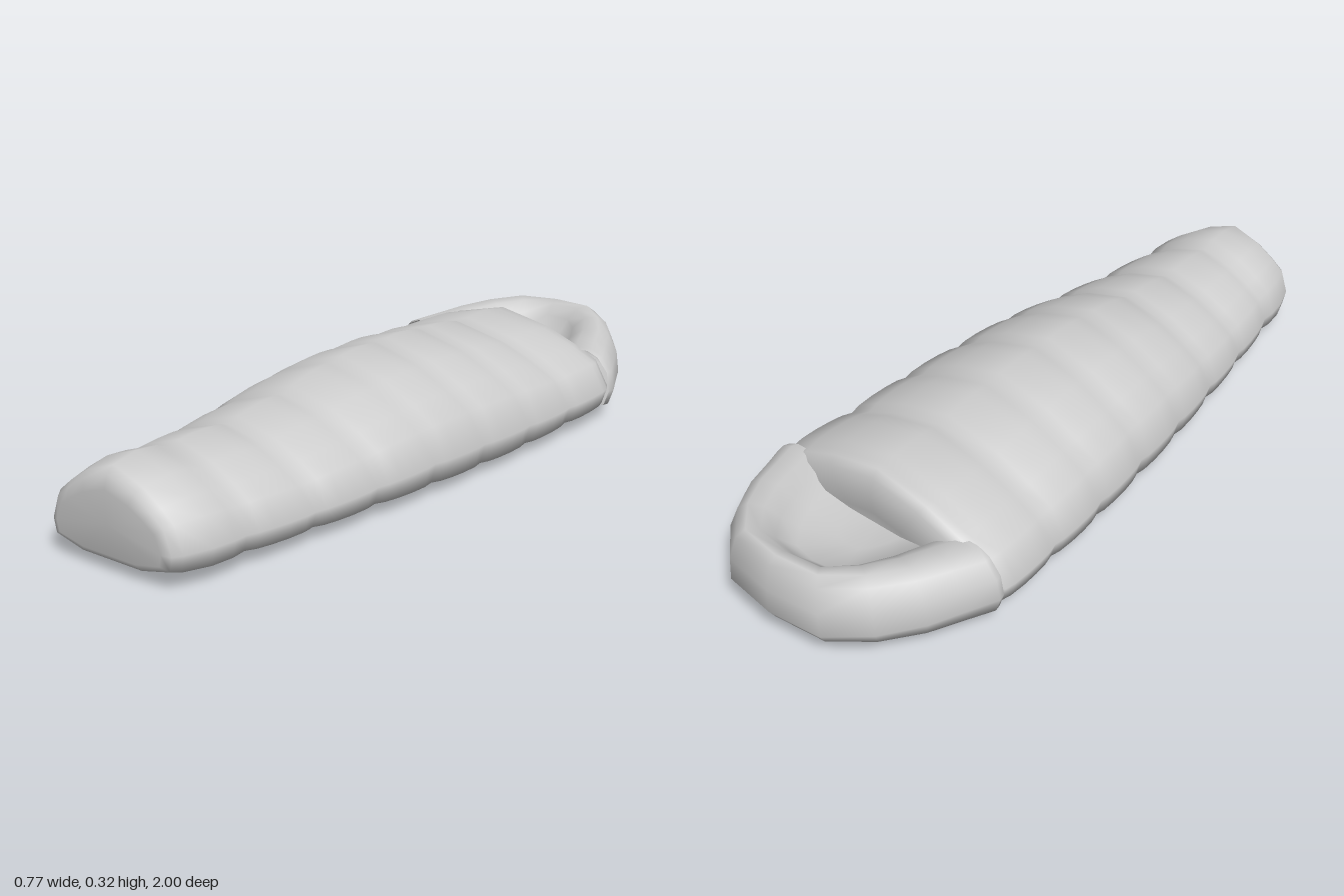
import * as THREE from 'three';
import { mergeVertices } from 'three/addons/utils/BufferGeometryUtils.js';

const material = new THREE.MeshStandardMaterial({ color: 0xcccccc, side: THREE.DoubleSide });

// Smooth surface through rows of points
function loft(rows, name) {
  const n = rows[0].length, index = [];
  for (let i = 0; i < rows.length - 1; i++) {
    for (let j = 0; j < n - 1; j++) {
      const a = i * n + j, b = a + 1, c = a + n, d = c + 1;
      index.push(a, c, b, b, c, d);
    }
  }
  let geometry = new THREE.BufferGeometry();
  geometry.setAttribute('position', new THREE.Float32BufferAttribute(rows.flat(2), 3));
  geometry.setIndex(index);
  geometry = mergeVertices(geometry, 1e-4);
  geometry.computeVertexNormals();
  const mesh = new THREE.Mesh(geometry, material);
  mesh.name = name;
  return mesh;
}

// Right half of the domed cross-section: width and height fractions, bottom to top
const HALF = [[0, 0], [0.5, 0], [0.96, 0.1], [1, 0.28], [0.89, 0.56], [0.7, 0.7], [0.43, 0.86], [0, 1]];
const RING = [...HALF, ...HALF.slice(0, -1).reverse().map(([x, y]) => [-x, y])];
const section = (z, w, top, bottom) =>
  RING.map(([x, y]) => [x * w, bottom + y * (top - bottom), z]);

// Quilted body: padded panels between stitched seams
function createBody() {
  const seams = [ // z, half width, top, bottom
    [0.8, 0.23, 0.241, 0.021], [0.6, 0.263, 0.24, 0.018], [0.4, 0.293, 0.265, 0.015],
    [0.2, 0.322, 0.302, 0.01], [0, 0.34, 0.309, 0.006], [-0.2, 0.357, 0.303, 0.009],
    [-0.4, 0.367, 0.281, 0.018], [-0.6, 0.378, 0.283, 0.028],
  ];
  // Closed foot end
  const rows = [
    section(1, 0, 0.12, 0.12), section(1, 0.165, 0.2, 0.045), section(0.99, 0.188, 0.232, 0.03),
    section(0.97, 0.203, 0.249, 0.024), section(0.9, 0.226, 0.263, 0.018), section(0.84, 0.233, 0.257, 0.018),
  ];
  seams.forEach((s, k) => {
    rows.push(section(...s));
    const next = seams[k + 1];
    if (!next) return;
    for (const t of [0.15, 0.35, 0.6, 0.85]) {
      const puff = Math.sqrt(Math.sin(Math.PI * t));
      const [z, w, top, bottom] = s.map((v, i) => THREE.MathUtils.lerp(v, next[i], t));
      rows.push(section(z, w + 0.009 * puff, top + 0.014 * puff, bottom - 0.005 * puff));
    }
  });
  // Rolled lip over the face opening
  rows.push(
    section(-0.625, 0.365, 0.285, 0.032), section(-0.643, 0.335, 0.265, 0.04),
    section(-0.655, 0.28, 0.215, 0.05), section(-0.65, 0.2, 0.16, 0.06), section(-0.645, 0, 0.12, 0.12));
  return loft(rows, 'quiltedBody');
}

// Hood: outline around the head, carried up the outside, over the rim and down into the hollow
function createHood() {
  const side = [[-0.38, 0], [-0.385, 0.02], [-0.35, 0.1], [-0.312, 0.19], [-0.245, 0.29], [-0.15, 0.372]];
  const outline = [...side, [0, 0.39], ...side.map(([x, d]) => [-x, d]).reverse()];
  const levels = [ // width scale, depth scale, height at the shoulders, height at the back
    [0, 0, 0.03, 0.03], [0.5, 0.5, 0.026, 0.05], [0.96, 0.95, 0.045, 0.068], [1, 1, 0.09, 0.1],
    [0.975, 0.99, 0.145, 0.165], [0.89, 0.945, 0.185, 0.228], [0.8, 0.89, 0.2, 0.246],
    [0.66, 0.82, 0.2, 0.238], [0.54, 0.75, 0.18, 0.205], [0.46, 0.62, 0.145, 0.15],
    [0.25, 0.35, 0.13, 0.13], [0, 0, 0.125, 0.125],
  ];
  const rows = levels.map(([sx, sz, shoulder, back]) => outline.map(([x, d]) =>
    [x * sx, THREE.MathUtils.lerp(shoulder, back, d / 0.39), -0.61 - d * sz]));
  return loft(rows, 'hood');
}

export function createModel() {
  const group = new THREE.Group();
  group.name = 'sleepingBag';
  group.add(createBody(), createHood());
  return group;
}
